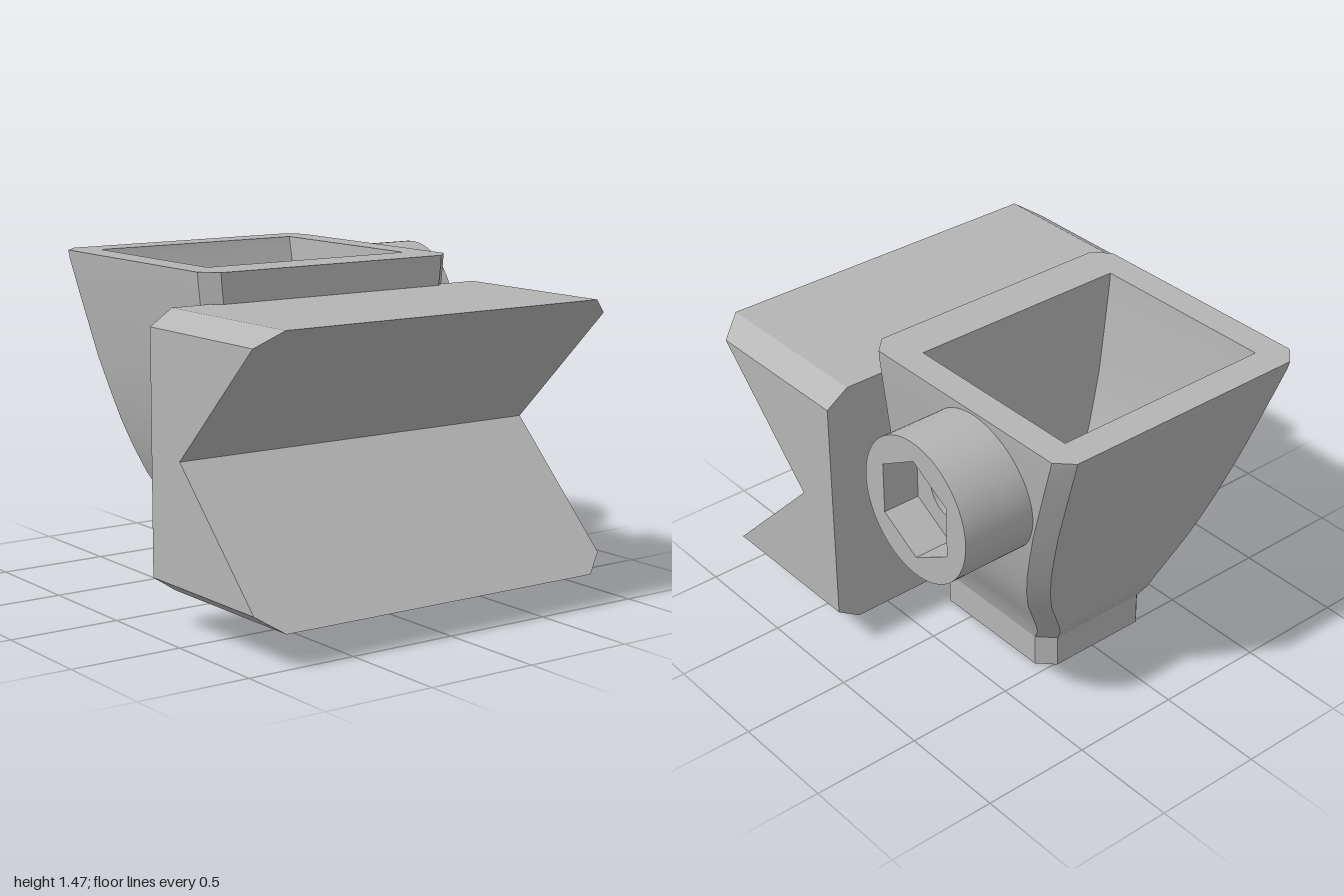
import * as THREE from 'three';
import { toCreasedNormals } from 'three/addons/utils/BufferGeometryUtils.js';

const grey = new THREE.MeshStandardMaterial({ color: 0xb4b4b4, side: THREE.DoubleSide });
grey.name = 'plain grey';

const CZ = 0.027;                                   // centre of the hopper in z
const BOSS = { x: -0.46, y: 1.135, r: 0.319, bore: 0.115, back: -0.928, floor: -0.757, end: -0.53 };

function add(group, name, geometry) {
  const mesh = new THREE.Mesh(toCreasedNormals(geometry, 0.3), grey);
  mesh.name = name;
  group.add(mesh);
}

// Rings run counter-clockwise seen from above, bottom ring first
const rect = (y, x0, x1, zB, zF) =>
  [[x1, zF], [x1, zB], [x0, zB], [x0, zF]].map(([x, z]) => new THREE.Vector3(x, y, z));

const octagon = (y, x0, x1, zB, zF, c) => [
  [x1, zF - c], [x1, zB + c], [x1 - c, zB], [x0 + c, zB],
  [x0, zB + c], [x0, zF - c], [x0 + c, zF], [x1 - c, zF],
].map(([x, z]) => new THREE.Vector3(x, y, z));

// Skin a stack of rings; skip = [level, side] leaves one panel open
function loft(rings, capTop, skip = [-1, -1]) {
  const pos = [];
  const tri = (...pts) => pts.forEach((p) => pos.push(p.x, p.y, p.z));
  const n = rings[0].length;
  for (let i = 0; i < rings.length - 1; i++) {
    for (let j = 0; j < n; j++) {
      if (i === skip[0] && j === skip[1]) continue;
      const k = (j + 1) % n;
      const a = rings[i][j], b = rings[i][k], c = rings[i + 1][k], d = rings[i + 1][j];
      tri(a, b, c);
      tri(a, c, d);
    }
  }
  const bottom = rings[0], top = rings[rings.length - 1];
  for (let j = 1; j < n - 1; j++) {
    tri(bottom[0], bottom[j + 1], bottom[j]);
    if (capTop) tri(top[0], top[j], top[j + 1]);
  }
  const geo = new THREE.BufferGeometry();
  geo.setAttribute('position', new THREE.Float32BufferAttribute(pos, 3));
  geo.computeVertexNormals();
  return geo;
}

function circlePath(r) {
  return new THREE.Path().absarc(BOSS.x, BOSS.y, r, 0, Math.PI * 2, true);
}

// Sloping back panel pierced by the bolt bore
function piercedPanel(lower, upper, side, facesBack) {
  const pts = [lower[side], lower[side + 1], upper[side + 1], upper[side]];
  const shape = new THREE.Shape(pts.map((p) => new THREE.Vector2(p.x, p.y)));
  shape.holes.push(circlePath(BOSS.bore));
  const geo = new THREE.ShapeGeometry(shape, 48);
  const p = geo.attributes.position;
  for (let i = 0; i < p.count; i++) {
    const t = (p.getY(i) - pts[0].y) / (pts[3].y - pts[0].y);
    p.setZ(i, THREE.MathUtils.lerp(pts[0].z, pts[3].z, t));
  }
  if (facesBack) geo.index.array.reverse();
  geo.computeVertexNormals();
  return geo;
}

function makeHopper() {
  const hopper = new THREE.Group();
  hopper.name = 'hopper';

  // Height, left edge and half depth of the flaring body
  const slope = (y) => -0.555 - (y - 0.22) * 0.3595;
  const levels = [
    [0.15, -0.51, 0.305], [0.22, -0.555, 0.33],
    ...[[0.28, 0.357], [0.36, 0.4], [0.48, 0.465], [0.6, 0.51], [0.72, 0.545],
      [0.85, 0.572], [1.0, 0.6], [1.29, 0.634], [1.43, 0.649]].map(([y, w]) => [y, slope(y), w]),
    [1.468, -1, 0.651],
  ];
  const band = levels.findIndex(([y]) => y === 1.0);

  // Outer skin with the straight spigot below
  const outer = [[0, -0.51, 0.305], ...levels]
    .map(([y, x, w]) => octagon(y, x, 0.225, CZ - w, CZ + w, 0.07));
  add(hopper, 'outer wall', loft(outer, false, [band + 1, 2]));
  add(hopper, 'outer back panel', piercedPanel(outer[band + 1], outer[band + 2], 2, true));

  // Inner skin, turned inside out
  const inner = levels.map(([y, x, w]) =>
    rect(y, x + 0.14, 0.025, CZ - w + 0.13, CZ + w - 0.13).reverse());
  add(hopper, 'inner wall', loft(inner, false, [band, 1]));
  add(hopper, 'inner back panel', piercedPanel(inner[band], inner[band + 1], 1, false));

  // Flat rim
  const flat = (ring) => ring.map((p) => new THREE.Vector2(p.x, -p.z));
  const rim = new THREE.Shape(flat(outer[outer.length - 1]));
  rim.holes.push(new THREE.Path(flat(inner[inner.length - 1])));
  const rimGeo = new THREE.ShapeGeometry(rim);
  rimGeo.rotateX(-Math.PI / 2);
  rimGeo.translate(0, 1.468, 0);
  add(hopper, 'rim', rimGeo);

  // Short bore lining that ends flush with the sloping inner wall
  const lo = inner[band][1], hi = inner[band + 1][1];
  const lining = new THREE.CylinderGeometry(BOSS.bore, BOSS.bore, 1, 48, 1, true);
  lining.rotateX(Math.PI / 2);
  lining.translate(BOSS.x, BOSS.y, 0);
  const p = lining.attributes.position;
  for (let i = 0; i < p.count; i++) {
    const t = (p.getY(i) - lo.y) / (hi.y - lo.y);
    p.setZ(i, p.getZ(i) > 0 ? THREE.MathUtils.lerp(lo.z, hi.z, t) : BOSS.end);
  }
  lining.index.array.reverse();
  lining.computeVertexNormals();
  add(hopper, 'bore lining', lining);
  return hopper;
}

// Round boss: hexagonal socket at the back, round bore in front of it
function makeBoss() {
  const boss = new THREE.Group();
  boss.name = 'bolt boss';
  const hex = new THREE.Path(Array.from({ length: 6 }, (_, i) => {
    const a = -(i + 0.5) * Math.PI / 3;
    return new THREE.Vector2(BOSS.x + 0.232 * Math.cos(a), BOSS.y + 0.232 * Math.sin(a));
  }));
  const section = (name, hole, z0, z1) => {
    const shape = new THREE.Shape().absarc(BOSS.x, BOSS.y, BOSS.r, 0, Math.PI * 2, false);
    shape.holes.push(hole);
    const geo = new THREE.ExtrudeGeometry(shape, { depth: z1 - z0, bevelEnabled: false, curveSegments: 48 });
    geo.translate(0, 0, z0);
    add(boss, name, geo);
  };
  section('hex socket', hex, BOSS.back, BOSS.floor);
  section('boss body', circlePath(BOSS.bore), BOSS.floor, BOSS.end);
  return boss;
}

export function createModel() {
  const model = new THREE.Group();
  model.name = 'hopper with notched block';
  model.add(makeHopper(), makeBoss());

  // Block with a V notch along its side and chamfered ends
  const block = [
    [0.145, 1, 0.105], [0.215, 0.93, 0], [0.74, 0.4, 0], [1.265, 0.93, 0], [1.335, 1, 0.105],
  ].map(([y, x, c]) => rect(y, 0.185, x, -0.876 + c, 0.928 - c));
  add(model, 'notched block', loft(block, true));
  return model;
}
